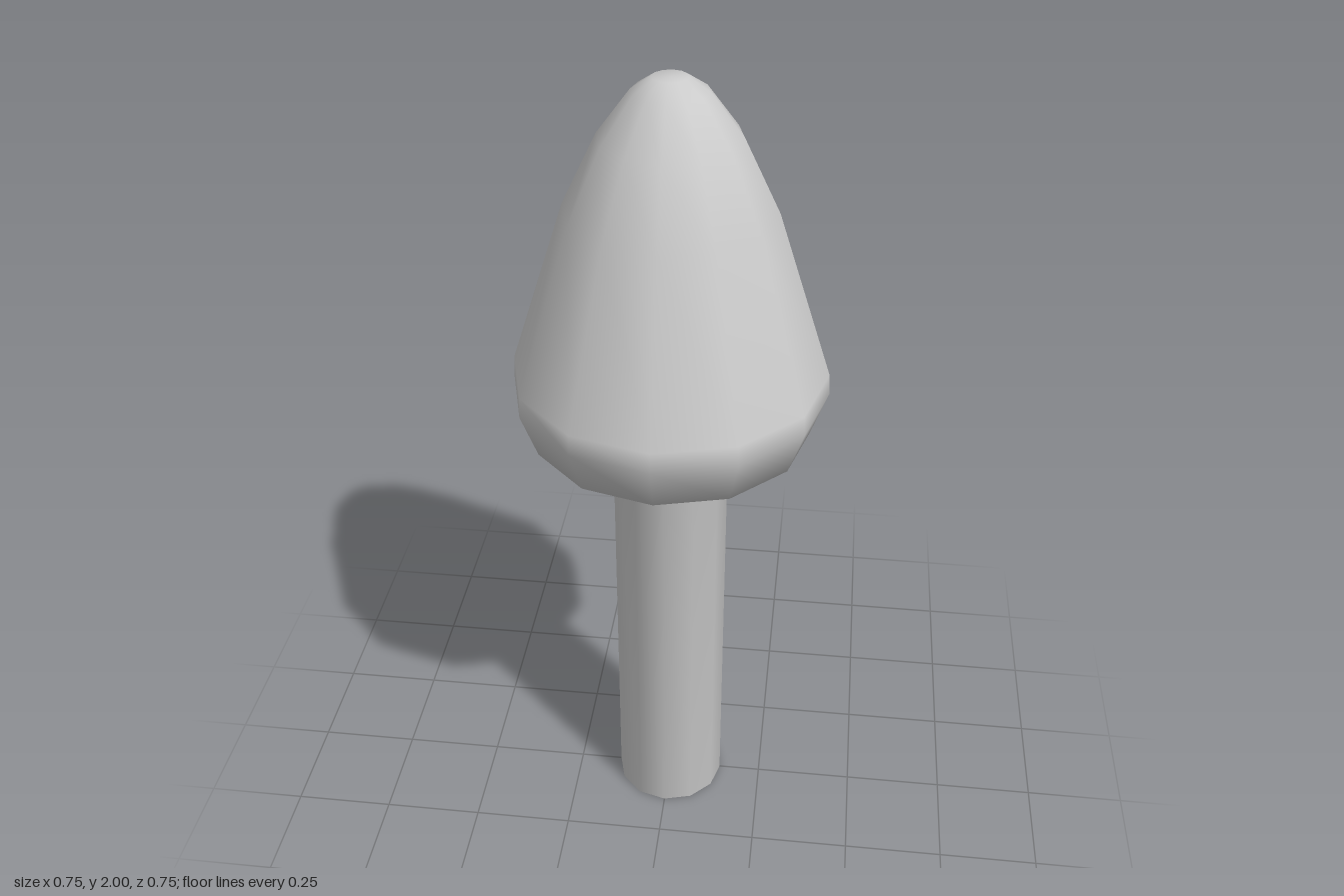
import * as THREE from 'three';

const SIDES = 12;

// [radius, height] pairs, running from the foot up to the tip
const stem = [[0, 0], [0.14, 0], [0.14, 1.145]];
const cap = [
  [0.333, 1.145], // rim of the flat underside
  [0.373, 1.257], [0.37, 1.307], // widest band
  [0.24, 1.705], [0.16, 1.87], [0.085, 1.97], [0.04, 2], [0, 2], // taper to a blunt tip
];

export function createModel() {
  const group = new THREE.Group();
  group.name = 'mushroom';

  // Stem and cap are one continuous turned surface, so shading flows across the joint
  const profile = [...stem, ...cap].map(([r, y]) => new THREE.Vector2(r, y));
  const body = new THREE.Mesh(
    new THREE.LatheGeometry(profile, SIDES),
    new THREE.MeshStandardMaterial({ color: 0xcccccc })
  );
  body.name = 'stemAndCap';
  group.add(body);

  return group;
}
